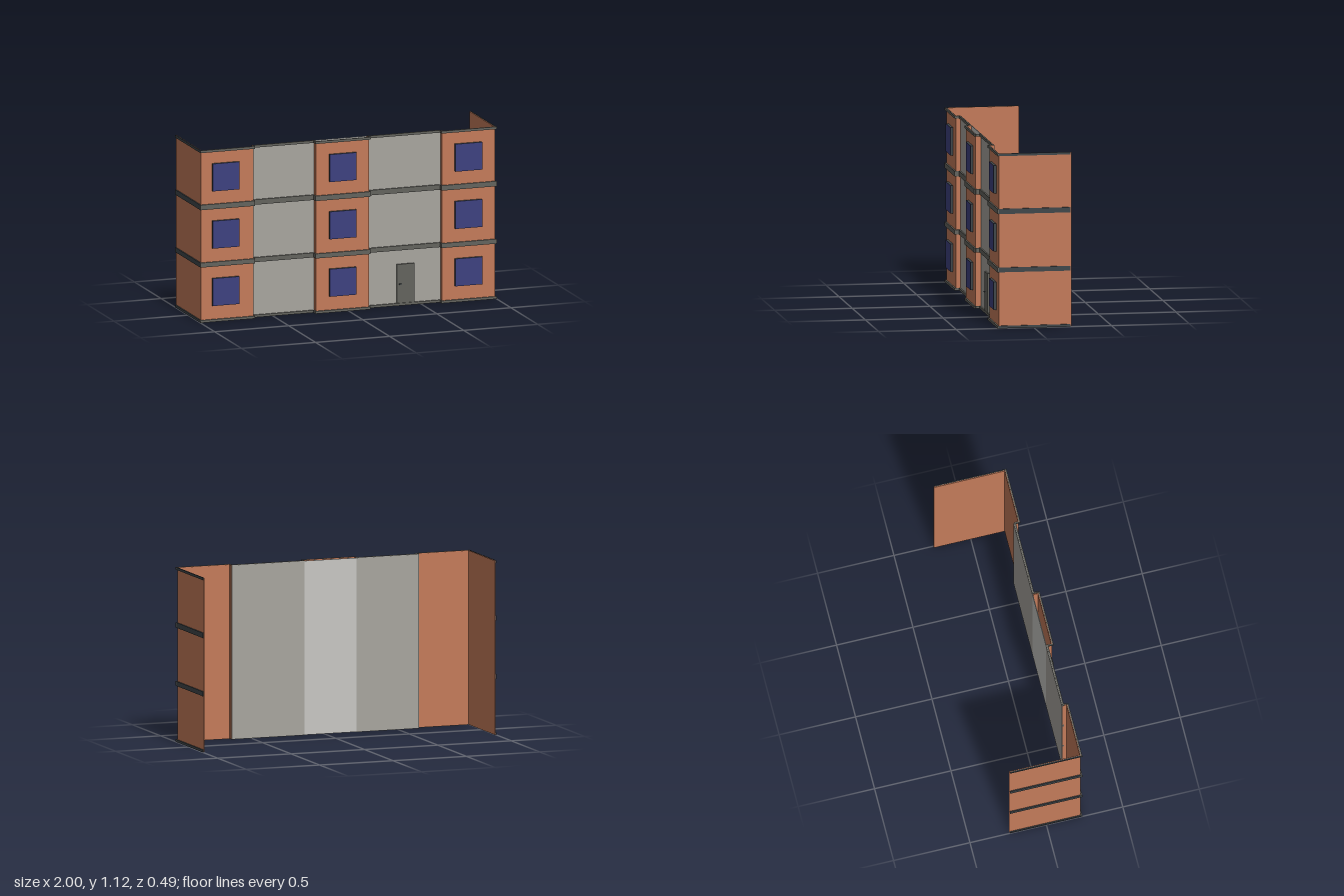
import * as THREE from 'three';

const mat = (name, color) => {
  const m = new THREE.MeshStandardMaterial({ color });
  m.name = name;
  return m;
};

export function createModel() {
  const brick = mat('brick', 0xc47b5a);
  const plaster = mat('plaster', 0xa8a69f);
  const palePlaster = mat('pale plaster', 0xc8c7c3);
  const trim = mat('trim grey', 0x64645e);
  const slate = mat('dark slate', 0x40474b);
  const glass = mat('blue glass', 0x3e4180);

  const model = new THREE.Group();
  model.name = 'apartmentFacade';

  // Box given by its limits on each axis
  const box = (name, material, [x0, x1], [y0, y1], [z0, z1]) => {
    const mesh = new THREE.Mesh(new THREE.BoxGeometry(x1 - x0, y1 - y0, z1 - z0), material);
    mesh.position.set((x0 + x1) / 2, (y0 + y1) / 2, (z0 + z1) / 2);
    mesh.name = name;
    model.add(mesh);
    return mesh;
  };

  const H = 1.122, T = 0.004, recess = 0.195;
  const full = [0.002, H - 0.002];
  // Heights of the horizontal bands: base, two floor lines, roof line
  const bands = [[0, 0.016], [0.36, 0.39], [0.734, 0.767], [H - 0.016, H]];
  const floors = [0, 0.374, 0.747];

  // Recessed plaster walls, with the pale stretch behind the middle bay
  for (const [x0, x1] of [[-0.64, -0.215], [0.14, 0.635]]) {
    box('recessedWall', plaster, [x0, x1], full, [recess - T, recess]);
    for (const y of bands) box('recessedBand', trim, [x0, x1], y, [recess, recess + 0.01]);
  }
  box('middleBackWall', palePlaster, [-0.215, 0.14], full, [recess - T, recess]);

  // Projecting brick bays: x limits, front plane, window centre, sides that step back
  const bays = [
    { x: [-0.993, -0.64], z: 0.225, win: -0.83, returns: [-0.64] },
    { x: [-0.218, 0.138], z: 0.23, win: -0.04, returns: [-0.218, 0.138 - T] },
    { x: [0.635, 0.987], z: 0.225, win: 0.81, returns: [0.635] },
  ];
  bays.forEach(({ x, z, win, returns }, i) => {
    box('brickBay', brick, x, full, [z - T, z]);
    for (const r of returns) box('bayReturn', brick, [r, r + T], full, [recess, z - T]);

    const bx0 = i === 0 ? -1 : x[0] - 0.007;
    const bx1 = i === 2 ? 1 : x[1] + 0.007;
    for (const y of bands) {
      box('bayBand', trim, [bx0, bx1], y, [z, z + 0.01]);
      // Band ends turn back along the returns
      if (i > 0) box('bandReturn', trim, [bx0, x[0]], y, [recess, z]);
      if (i < 2) box('bandReturn', trim, [x[1] + T, bx1 + T], y, [recess, z]);
    }

    // Windows: blue front, dark edges
    for (const f of floors) {
      box('window', [slate, slate, slate, slate, glass, brick],
        [win - 0.09, win + 0.09], [f + 0.105, f + 0.284], [z, z + 0.017]);
    }
  });

  // Side walls with dark bands on the outside
  for (const s of [-1, 1]) {
    const span = (a, b) => (s > 0 ? [a, b] : [-b, -a]);
    box('sideWall', brick, span(0.988, 0.993), full, [-0.242, 0.225]);
    for (const y of bands) box('sideBand', slate, span(0.993, 1), y, [-0.237, 0.234]);
  }

  // Entrance door and handle
  box('door', trim, [0.338, 0.455], [0.018, 0.27], [recess, recess + 0.012]);
  box('doorHandle', slate, [0.35, 0.368], [0.138, 0.144], [recess + 0.012, recess + 0.018]);

  return model;
}
